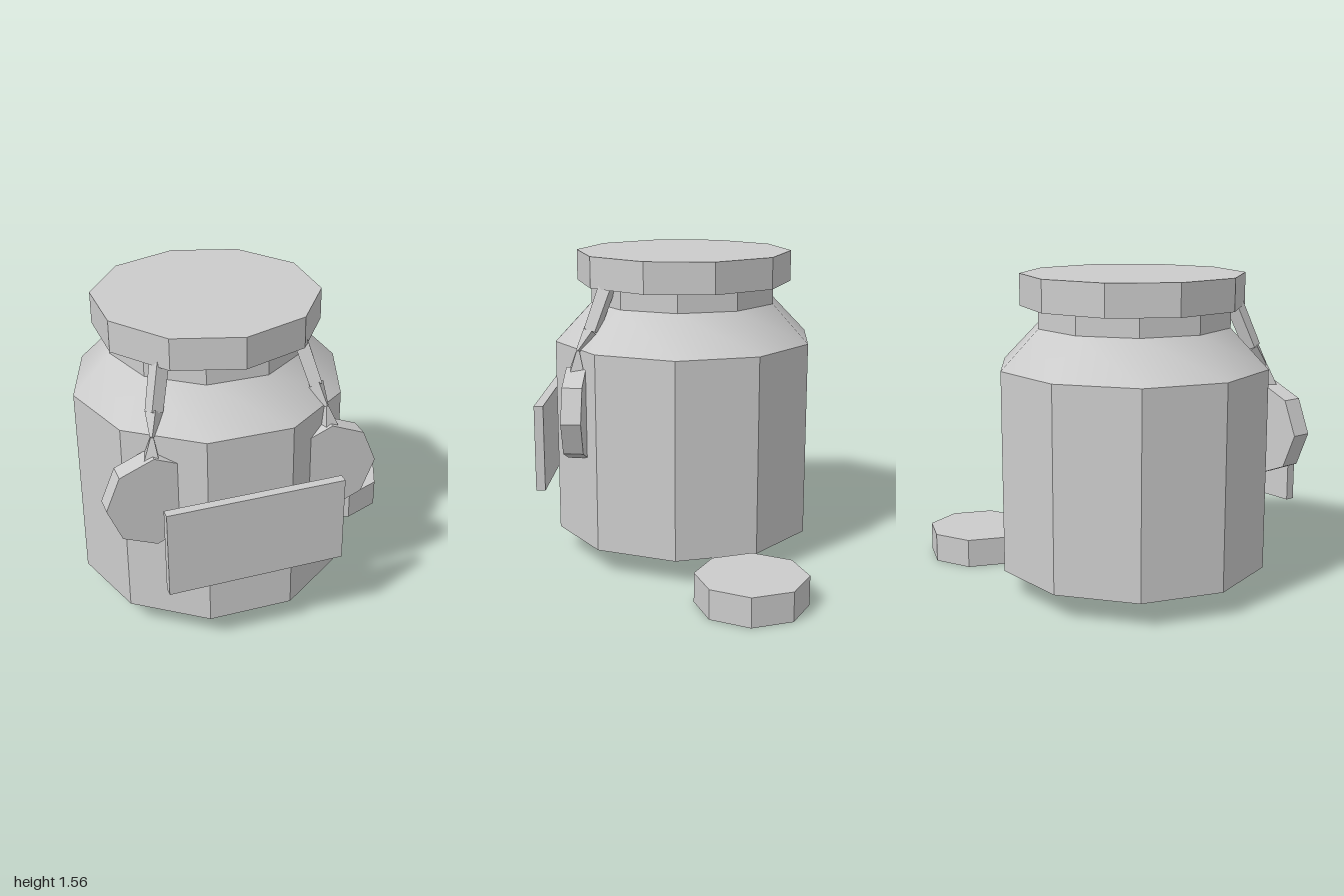
import * as THREE from 'three';
import { toCreasedNormals } from 'three/addons/utils/BufferGeometryUtils.js';

const grey = new THREE.MeshStandardMaterial({ color: 0xcccccc });
grey.name = 'plain grey';

function part(name, geometry, parent) {
  const mesh = new THREE.Mesh(toCreasedNormals(geometry, Math.PI / 6), grey);
  mesh.name = name;
  parent.add(mesh);
  return mesh;
}

// Four-sided tapered bar between two points
function bar(name, a, b, ra, rb, parent) {
  const dir = b.clone().sub(a);
  const mesh = part(name, new THREE.CylinderGeometry(rb, ra, dir.length(), 4, 1, false, Math.PI / 4), parent);
  mesh.position.copy(a).add(b).multiplyScalar(0.5);
  mesh.quaternion.setFromUnitVectors(new THREE.Vector3(0, 1, 0), dir.normalize());
}

export function createModel() {
  const model = new THREE.Group();
  model.name = 'jar';

  // Ten-sided jar with a shallow pointed base, shoulder and neck
  const vessel = new THREE.Group();
  vessel.name = 'vessel';
  vessel.position.set(-0.18, 0, -0.082);
  model.add(vessel);
  const profile = [[0, 0], [0.667, 0.125], [0.667, 1.113], [0.48, 1.305], [0.48, 1.41]]
    .map(([r, y]) => new THREE.Vector2(r, y));
  part('jarBody', new THREE.LatheGeometry(profile, 10, -0.075), vessel);

  // Lid
  part('lid', new THREE.CylinderGeometry(0.547, 0.547, 0.155, 10, 1, false, 0.26), vessel)
    .position.y = 1.478;

  // Label and hanging tags, turned towards the left front
  const hangings = new THREE.Group();
  hangings.name = 'hangings';
  hangings.rotation.y = -0.382;
  vessel.add(hangings);
  part('label', new THREE.BoxGeometry(0.862, 0.436, 0.046), hangings).position.set(0, 0.613, 0.693);

  for (const s of [-1, 1]) {
    const side = s < 0 ? 'right' : 'left';
    const disc = part(side + 'Tag', new THREE.CylinderGeometry(0.23, 0.23, 0.097, 8), hangings);
    disc.rotation.x = Math.PI / 2;
    disc.position.set(s * 0.432, 0.8, 0.5);

    // Cord pinched where it bends over the shoulder
    const [top, mid, pinch, end] = [
      [0.334, 1.42, 0.351], [0.391, 1.2, 0.428], [0.422, 1.11, 0.492], [0.432, 1.0, 0.5],
    ].map(([x, y, z]) => new THREE.Vector3(s * x, y, z));
    bar(side + 'CordUpper', top, mid, 0.046, 0.042, hangings);
    bar(side + 'CordMiddle', mid, pinch, 0.042, 0.01, hangings);
    bar(side + 'CordLower', pinch, end, 0.01, 0.05, hangings);
  }

  // Loose octagonal puck beside the jar
  part('puck', new THREE.CylinderGeometry(0.2706, 0.2706, 0.146, 8, 1, false, Math.PI / 8), model)
    .position.set(0.75, 0.073, -0.1);

  return model;
}
